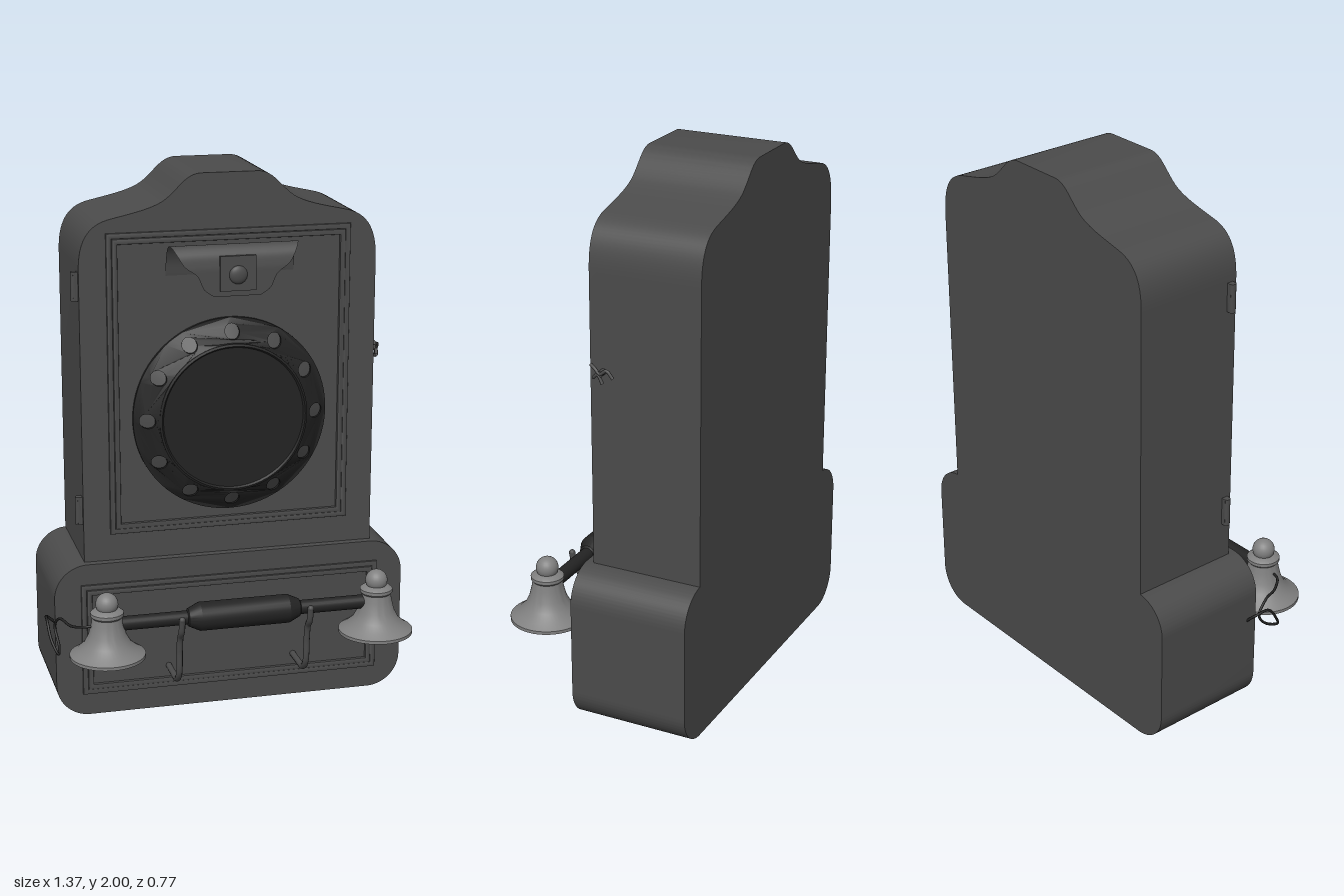
import * as THREE from 'three';
import { toCreasedNormals } from 'three/addons/utils/BufferGeometryUtils.js';

const CX = 0.016; // middle of the cabinet
const V = (x, y, z) => new THREE.Vector3(x, y, z);

export function createModel() {
  const root = new THREE.Group();
  const cabinetGrey = new THREE.MeshStandardMaterial({ color: 0x4b4b4b, side: THREE.DoubleSide });
  cabinetGrey.name = 'cabinet grey';
  const dialBlack = new THREE.MeshStandardMaterial({ color: 0x232323, side: THREE.DoubleSide });
  dialBlack.name = 'dial black';
  const bellGrey = new THREE.MeshStandardMaterial({ color: 0x808080, side: THREE.DoubleSide });
  bellGrey.name = 'bell grey';

  const add = (name, geo, mat, x = 0, y = 0, z = 0, parent = root) => {
    const m = new THREE.Mesh(geo, mat);
    m.name = name;
    m.position.set(x, y, z);
    parent.add(m);
    return m;
  };
  const extrude = (shape, depth, opts = {}) => toCreasedNormals(
    new THREE.ExtrudeGeometry(shape, { depth, bevelEnabled: false, curveSegments: 16, ...opts }), 0.6);
  const tube = (pts, r, seg = 40) =>
    new THREE.TubeGeometry(new THREE.CatmullRomCurve3(pts), seg, r, 8);
  const lathe = (pts, seg = 48) =>
    new THREE.LatheGeometry(pts.map(p => new THREE.Vector2(...p)), seg);
  const rect = (s, w, h) =>
    s.moveTo(-w, -h).lineTo(w, -h).lineTo(w, h).lineTo(-w, h).closePath();

  // Upper cabinet with a crested top
  const top = new THREE.Shape();
  top.moveTo(-0.546, 0.59).lineTo(0.546, 0.59).lineTo(0.546, 1.67);
  top.bezierCurveTo(0.546, 1.79, 0.50, 1.835, 0.43, 1.85);
  top.bezierCurveTo(0.35, 1.868, 0.28, 1.88, 0.235, 1.91);
  top.bezierCurveTo(0.18, 1.95, 0.16, 2, 0.1, 2);
  top.lineTo(-0.1, 2);
  top.bezierCurveTo(-0.16, 2, -0.18, 1.95, -0.235, 1.91);
  top.bezierCurveTo(-0.28, 1.88, -0.35, 1.868, -0.43, 1.85);
  top.bezierCurveTo(-0.50, 1.835, -0.546, 1.79, -0.546, 1.67);
  top.closePath();
  add('upperCabinet', extrude(top, 0.415), cabinetGrey, CX, 0, -0.385);

  // Base box with rounded corners
  const base = new THREE.Shape();
  const bw = 0.664, bh = 0.59, r = 0.125;
  base.moveTo(-bw + r, 0).lineTo(bw - r, 0).absarc(bw - r, r, r, -Math.PI / 2, 0, false);
  base.absarc(bw - r, bh - r, r, 0, Math.PI / 2, false);
  base.absarc(-bw + r, bh - r, r, Math.PI / 2, Math.PI, false);
  base.absarc(-bw + r, r, r, Math.PI, Math.PI * 1.5, false);
  add('baseCabinet', extrude(base, 0.445), cabinetGrey, CX, 0, -0.385);

  // Panel mouldings: an outer frame and a thinner raised bead inside it
  const frame = (name, w, h, y, z) => {
    [[0, 0.016, 0.004], [0.02, 0.016, 0.008]].forEach(([inset, width, d]) => {
      const s = rect(new THREE.Shape(), w - inset - 0.004, h - inset - 0.004);
      s.holes.push(rect(new THREE.Path(), w - inset - width, h - inset - width));
      add(name, extrude(s, d, {
        bevelEnabled: true, bevelSize: 0.004, bevelThickness: 0.004, bevelSegments: 2,
      }), cabinetGrey, CX, y, z);
    });
  };
  frame('upperPanelFrame', 0.448, 0.555, 1.245, 0.03);
  frame('lowerPanelFrame', 0.566, 0.215, 0.297, 0.06);

  // Dial: sloping ring with twelve finger holes
  const dial = new THREE.Group();
  dial.name = 'dial';
  dial.position.set(CX, 1.12, 0.03);
  root.add(dial);
  const ring = new THREE.Shape().absarc(0, 0, 0.36, 0, Math.PI * 2, false);
  ring.holes.push(new THREE.Path().absarc(0, 0, 0.27, 0, Math.PI * 2, true));
  for (let i = 0; i < 12; i++) {
    const a = i * Math.PI / 6;
    ring.holes.push(new THREE.Path().absarc(0.313 * Math.cos(a), 0.313 * Math.sin(a), 0.027, 0, Math.PI * 2, true));
  }
  const ringGeo = new THREE.ExtrudeGeometry(ring, { depth: 0.012, bevelEnabled: false, curveSegments: 48 });
  const p = ringGeo.attributes.position;
  for (let i = 0; i < p.count; i++) {
    const rad = Math.hypot(p.getX(i), p.getY(i));
    p.setZ(i, p.getZ(i) + (0.36 - rad) * 0.62);
  }
  ringGeo.computeVertexNormals();
  add('fingerRing', toCreasedNormals(ringGeo, 0.5), dialBlack, 0, 0, 0, dial);
  const backing = add('fingerHoleBacking', lathe([[0.345, 0.0], [0.275, 0.045]]), cabinetGrey, 0, 0, 0, dial);
  backing.rotation.x = Math.PI / 2;
  const rim = add('dialRim', toCreasedNormals(
    lathe([[0.272, 0.04], [0.274, 0.07], [0.266, 0.073], [0.26, 0.066], [0, 0.066]], 64), 0.5),
  dialBlack, 0, 0, 0, dial);
  rim.rotation.x = Math.PI / 2;

  // Curled crest plate: a sheet that arches out of the panel and narrows downwards
  const path = new THREE.CatmullRomCurve3([ // x holds the half width
    V(0.235, 1.64, 0.032), V(0.235, 1.70, 0.045), V(0.235, 1.748, 0.075), V(0.232, 1.757, 0.105),
    V(0.215, 1.73, 0.135), V(0.19, 1.69, 0.146), V(0.145, 1.655, 0.148),
    V(0.12, 1.605, 0.148), V(0.085, 1.58, 0.148)]);
  const sheet = new THREE.PlaneGeometry(2, 1, 8, 40);
  const sp = sheet.attributes.position;
  for (let i = 0; i < sp.count; i++) {
    const q = path.getPoint(0.5 - sp.getY(i));
    sp.setXYZ(i, sp.getX(i) * q.x, q.y, q.z);
  }
  sheet.computeVertexNormals();
  add('crestPlate', sheet, cabinetGrey, CX, 0, 0);
  add('crestBoss', new THREE.BoxGeometry(0.13, 0.125, 0.012), cabinetGrey, CX, 1.662, 0.15);
  add('crestButton', new THREE.SphereGeometry(0.033, 24, 16), cabinetGrey, CX, 1.657, 0.156).scale.z = 0.45;

  // Handset rod and grip
  const rodY = 0.425, rodZ = 0.245;
  const rod = add('handsetRod', new THREE.CylinderGeometry(0.026, 0.026, 0.98, 24), dialBlack, CX, rodY, rodZ);
  rod.rotation.z = Math.PI / 2;
  const grip = add('handsetGrip', toCreasedNormals(lathe([
    [0.026, -0.212], [0.033, -0.208], [0.053, -0.165], [0.053, 0.165], [0.033, 0.208], [0.026, 0.212]], 24), 0.4),
  dialBlack, CX, rodY, rodZ);
  grip.rotation.z = Math.PI / 2;

  // Bell cups with ball finials, hollow underneath
  for (const s of [-1, 1]) {
    const bell = new THREE.Group();
    bell.name = s > 0 ? 'leftBell' : 'rightBell';
    bell.position.set(CX + s * 0.505, 0, rodZ);
    root.add(bell);
    add('bellCup', toCreasedNormals(lathe([
      [0, 0.43], [0.035, 0.42], [0.06, 0.37], [0.1, 0.33], [0.128, 0.304], [0.137, 0.304], [0.137, 0.316],
      [0.112, 0.332], [0.085, 0.357], [0.068, 0.39], [0.058, 0.43], [0.054, 0.455],
      [0.06, 0.462], [0.06, 0.474], [0.05, 0.482], [0.036, 0.486], [0.036, 0.5]]), 0.6),
    bellGrey, 0, 0, 0, bell);
    add('bellFinial', new THREE.SphereGeometry(0.041, 24, 16), bellGrey, 0, 0.505, 0, bell);
  }

  // Hooks that cradle the rod
  for (const s of [-1, 1]) {
    const x = CX + s * 0.24;
    const pts = [V(x, 0.165, 0.05), V(x, 0.165, 0.13), V(x, 0.17, 0.2), V(x, 0.205, 0.235),
      V(x, 0.3, 0.246), V(x, 0.355, 0.258), V(x, 0.385, 0.282), V(x, 0.435, 0.293)];
    add('hook', tube(pts, 0.012), cabinetGrey);
    add('hookTip', new THREE.SphereGeometry(0.012, 12, 8), cabinetGrey, x, 0.435, 0.293);
  }

  // Looping cord from the right bell to the side of the base
  add('cord', tube([V(-0.5, 0.425, 0.245), V(-0.57, 0.422, 0.24), V(-0.61, 0.41, 0.19), V(-0.64, 0.415, 0.12),
    V(-0.652, 0.37, 0.075), V(-0.645, 0.31, 0.12), V(-0.655, 0.295, 0.165), V(-0.675, 0.34, 0.14),
    V(-0.682, 0.4, 0.09), V(-0.675, 0.395, 0.035), V(-0.64, 0.36, 0.02)], 0.005, 90), dialBlack);

  // Door hinges
  for (const y of [0.783, 1.613]) {
    add('hinge', new THREE.CylinderGeometry(0.013, 0.013, 0.105, 12), cabinetGrey, -0.542, y, 0.003);
    add('hingeLeaf', new THREE.BoxGeometry(0.02, 0.105, 0.024), cabinetGrey, -0.537, y, 0.003);
  }

  // Small latch on the left side
  const post = add('latchPost', new THREE.CylinderGeometry(0.011, 0.011, 0.03, 12), cabinetGrey, 0.575, 1.32, -0.02);
  post.rotation.z = Math.PI / 2;
  add('latchHook', tube([V(0.578, 1.345, 0.02), V(0.585, 1.335, 0), V(0.588, 1.32, -0.02),
    V(0.588, 1.335, -0.045), V(0.588, 1.31, -0.07)], 0.006, 20), cabinetGrey);
  add('latchLever', tube([V(0.58, 1.3, 0.01), V(0.585, 1.315, -0.01), V(0.588, 1.285, -0.03)], 0.006, 14), cabinetGrey);

  return root;
}
